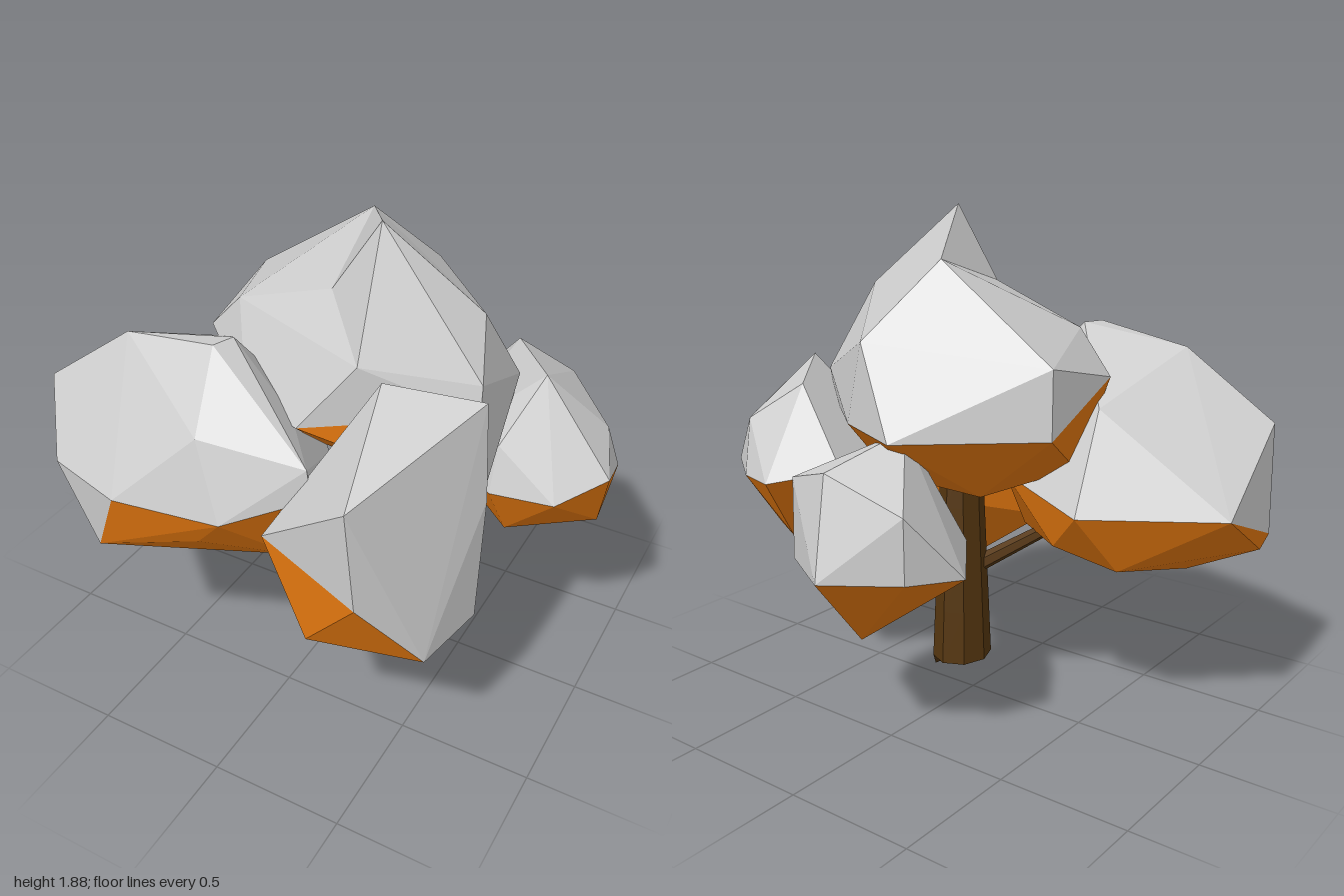
import * as THREE from 'three';
import { ConvexGeometry } from 'three/addons/geometries/ConvexGeometry.js';

const snow = new THREE.MeshStandardMaterial({ color: 0xcccccc, flatShading: true });
const leaf = new THREE.MeshStandardMaterial({ color: 0xe87a10, flatShading: true });
const bark = new THREE.MeshStandardMaterial({ color: 0x55360f, flatShading: true, side: THREE.DoubleSide });

// Each clump: crown points, the rim where the cap ends, and the underside points
const clumps = {
  leftFrontClump: {
    crown: [[-0.97, 1.13, 0.53], [-0.63, 1.38, 0.48], [-0.25, 1.44, 0.5], [-0.22, 1.44, 0.42], [-0.18, 1.22, 0.73],
      [0.18, 1.15, 0.62], [-0.8, 0.93, 0.75], [-0.5, 1.2, 0.08], [0, 1.2, 0.42]],
    rim: [[-1, 0.86, 0.14], [-0.99, 0.72, 0.5], [-0.6, 0.66, 0.8], [-0.46, 0.95, 0.86], [-0.06, 0.95, 0.8], [0.2, 1.04, 0.63],
      [0.05, 0.95, 0.25], [-0.15, 0.92, 0], [-0.57, 0.87, -0.18]],
    under: [[-0.98, 0.67, 0.45], [-0.74, 0.57, 0.35], [-0.42, 0.52, 0.42], [0, 0.6, 0.35], [0.07, 0.7, 0.55],
      [-0.18, 0.81, 0.76], [-0.64, 0.64, 0], [-0.4, 0.7, -0.05]],
  },
  rightFrontClump: {
    crown: [[0.34, 1.42, 0.41], [0.67, 1.39, 0.31], [0.45, 1.23, 0.855], [0.71, 1.05, 0.36], [0.62, 1.15, 0.23]],
    rim: [[0.07, 0.92, 0.74], [0.49, 0.87, 0.865], [0.66, 0.58, 0.69], [0.72, 0.6, 0.42], [0.55, 0.82, 0.1], [0.2, 0.95, 0.25]],
    under: [[0.25, 0.56, 0.77], [0.36, 0.34, 0.48], [0.04, 0.57, 0.55], [0.4, 0.7, 0.1]],
  },
  topClump: {
    crown: [[-0.02, 1.72, -0.21], [0.05, 1.6, 0.22], [0.55, 1.57, 0.08], [0.61, 1.25, -0.13],
      [0.13, 1.45, -0.47], [0.25, 1.45, 0.41], [-0.5, 1.39, -0.22], [-0.34, 1.46, 0.2], [0.62, 1.4, 0.24]],
    rim: [[-0.49, 1.3, 0.17], [-0.52, 1.15, -0.25], [-0.08, 1.14, -0.58], [0.2, 1.15, -0.47], [0.58, 1.12, -0.13],
      [0.63, 1.3, 0.27], [0.06, 1.2, 0.49], [-0.2, 1.2, 0.4]],
    under: [[0.65, 0.96, 0.25], [-0.2, 0.89, -0.22], [0.15, 0.93, -0.3], [-0.42, 0.97, 0.06], [0, 0.94, 0.2]],
  },
  topPeak: {
    crown: [[0.23, 1.88, 0.21], [-0.02, 1.72, -0.21], [0.05, 1.6, 0.22], [0.55, 1.57, 0.08], [0.25, 1.45, 0.41], [0.62, 1.4, 0.24]],
    rim: [],
    under: [],
  },
  rightClump: {
    crown: [[0.72, 1.29, -0.1], [0.51, 1.24, -0.38], [0.7, 1.1, -0.48], [0.62, 1.05, 0.05], [0.92, 1.05, -0.25]],
    rim: [[1, 0.97, -0.05], [0.85, 0.88, 0.07], [0.62, 0.88, 0.11], [0.96, 0.86, -0.31], [0.65, 0.9, -0.56],
      [0.5, 0.9, -0.6], [0.28, 0.95, -0.43], [0.36, 0.95, 0]],
    under: [[0.95, 0.71, -0.15], [0.8, 0.6, -0.25], [0.65, 0.66, 0], [0.45, 0.68, -0.15], [0.55, 0.64, -0.42]],
  },
  backClump: {
    crown: [[-0.05, 1.16, -0.45], [0.05, 1.06, -0.75], [0.25, 1, -0.7], [-0.25, 0.95, -0.7], [0.3, 0.88, -0.5]],
    rim: [[0, 0.71, -0.86], [-0.26, 0.72, -0.71], [-0.35, 0.7, -0.5], [-0.2, 0.75, -0.3], [0.2, 0.66, -0.35],
      [0.32, 0.66, -0.52], [0.26, 0.7, -0.7]],
    under: [[0.04, 0.41, -0.6], [0.05, 0.6, -0.35]],
  },
};

// Hull of the clump, split: faces touching a crown point become the cap
function buildClump(name, { crown, rim, under }) {
  const all = [...crown, ...rim, ...under].map((p) => new THREE.Vector3(...p));
  const hull = new ConvexGeometry(all).getAttribute('position');
  const tops = all.slice(0, crown.length);
  const cap = [], base = [];
  for (let i = 0; i < hull.count; i += 3) {
    const tri = [0, 1, 2].map((k) => new THREE.Vector3().fromBufferAttribute(hull, i + k));
    const isCap = tri.some((v) => tops.some((t) => t.distanceTo(v) < 1e-4));
    for (const v of tri) (isCap ? cap : base).push(v.x, v.y, v.z);
  }
  const group = new THREE.Group();
  group.name = name;
  for (const [part, list, mat] of [['cap', cap, snow], ['underside', base, leaf]]) {
    if (!list.length) continue;
    const geo = new THREE.BufferGeometry();
    geo.setAttribute('position', new THREE.Float32BufferAttribute(list, 3));
    geo.computeVertexNormals();
    const mesh = new THREE.Mesh(geo, mat);
    mesh.name = part;
    group.add(mesh);
  }
  return group;
}

// Tapered trunk with one bottom corner drawn out into a pointed root
function buildTrunk() {
  const geo = new THREE.CylinderGeometry(0.075, 0.11, 0.85, 8, 4);
  geo.scale(1, 1, 1.15);
  geo.translate(0.07, 0.545, 0.02);
  const pos = geo.getAttribute('position');
  for (let i = 0; i < pos.count; i++) {
    if (pos.getY(i) < 0.13 && pos.getX(i) > 0.17) pos.setXYZ(i, 0.25, 0, 0.07);
  }
  geo.computeVertexNormals();
  const trunk = new THREE.Mesh(geo, bark);
  trunk.name = 'trunk';
  return trunk;
}

// Straight six-sided limb between two points
function buildBranch(from, to) {
  const a = new THREE.Vector3(...from), b = new THREE.Vector3(...to);
  const dir = b.clone().sub(a);
  const branch = new THREE.Mesh(new THREE.CylinderGeometry(0.022, 0.035, dir.length(), 6), bark);
  branch.position.copy(a).add(b).multiplyScalar(0.5);
  branch.quaternion.setFromUnitVectors(new THREE.Vector3(0, 1, 0), dir.normalize());
  branch.name = 'branch';
  return branch;
}

export function createModel() {
  const tree = new THREE.Group();
  tree.name = 'tree';
  tree.add(buildTrunk());
  const limbs = [
    [[0.05, 0.48, 0.05], [-0.3, 0.72, 0.3]],
    [[0.08, 0.48, 0.06], [0.28, 0.6, 0.34]],
    [[0.1, 0.48, 0.02], [0.5, 0.8, -0.12]],
    [[0.07, 0.48, -0.03], [0.03, 0.74, -0.45]],
    [[0.07, 0.8, 0.02], [0.1, 1.2, 0]],
  ];
  for (const [from, to] of limbs) tree.add(buildBranch(from, to));
  for (const [name, parts] of Object.entries(clumps)) tree.add(buildClump(name, parts));
  return tree;
}
